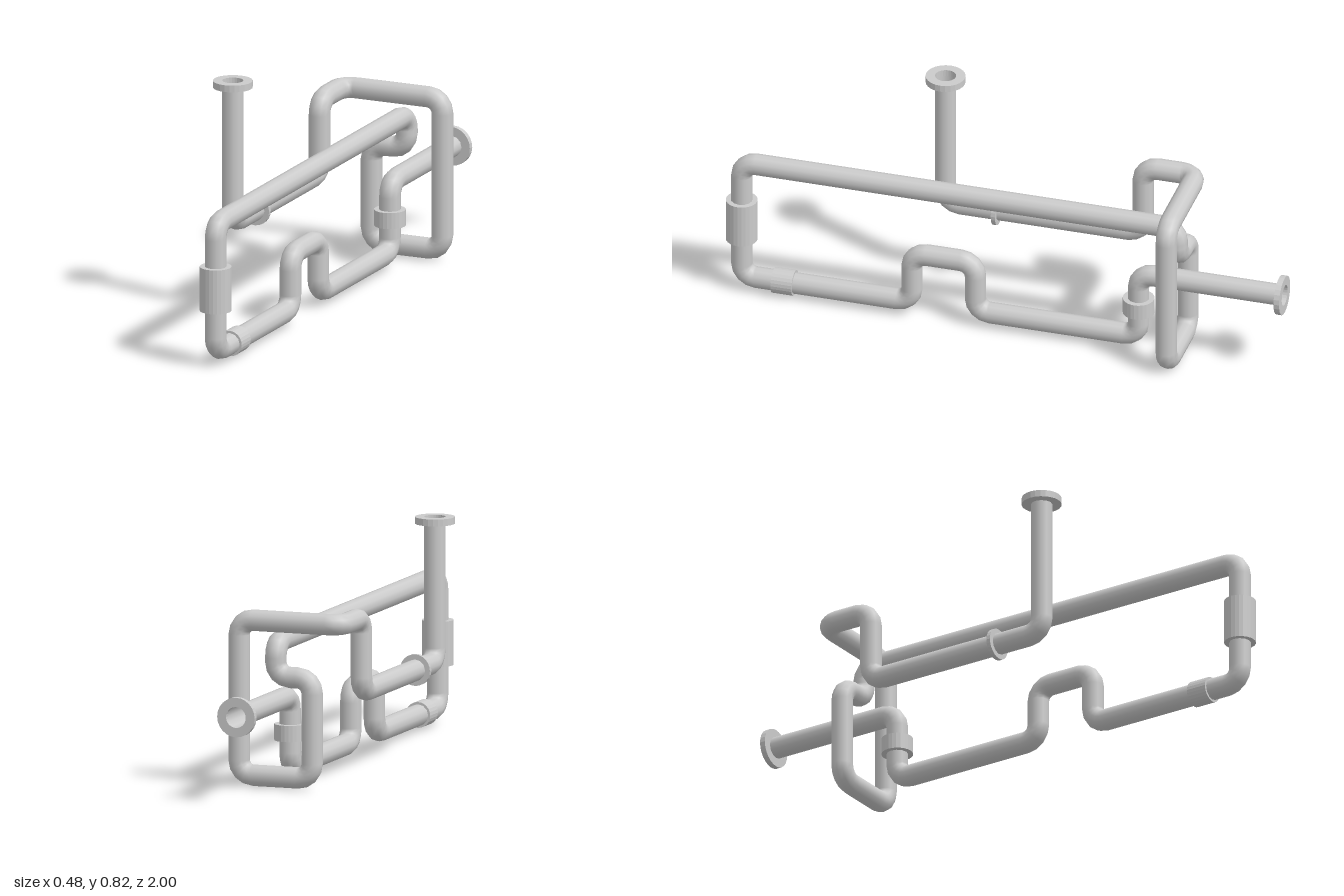
import * as THREE from 'three';

const R = 0.0375;      // pipe radius
const BEND = 0.052;    // elbow centreline radius
const STEPS = 4;       // segments per elbow
const SIDES = 12;

const V = (x, y, z) => new THREE.Vector3(x, y, z);

// Straight runs joined by rounded elbows, sampled exactly at the elbow rings
class PipeCurve extends THREE.Curve {
  constructor(corners) {
    super();
    const n = corners.length;
    const dir = i => corners[i + 1].clone().sub(corners[i]).normalize();
    this.samples = [{ p: corners[0], t: dir(0) }];
    for (let i = 1; i < n - 1; i++) {
      const a = dir(i - 1), b = dir(i);
      const centre = corners[i].clone().addScaledVector(a, -BEND).addScaledVector(b, BEND);
      for (let k = 0; k <= STEPS; k++) {
        const ang = (k / STEPS) * Math.PI / 2, s = Math.sin(ang), c = Math.cos(ang);
        this.samples.push({
          p: centre.clone().addScaledVector(b, -BEND * c).addScaledVector(a, BEND * s),
          t: a.clone().multiplyScalar(c).addScaledVector(b, s),
        });
      }
    }
    this.samples.push({ p: corners[n - 1], t: dir(n - 2) });
    this.segments = this.samples.length - 1;
  }
  at(u) { return this.samples[Math.round(u * this.segments)]; }
  getPoint(u, target = V(0, 0, 0)) { return target.copy(this.at(u).p); }
  getPointAt(u, target) { return this.getPoint(u, target); }
  getTangentAt(u, target = V(0, 0, 0)) { return target.copy(this.at(u).t); }
}

export function createModel() {
  const group = new THREE.Group();
  const material = new THREE.MeshStandardMaterial({ color: 0xcccccc });
  const openMaterial = new THREE.MeshStandardMaterial({ color: 0xcccccc, side: THREE.DoubleSide });

  const add = (name, geometry, mat = material) => {
    const mesh = new THREE.Mesh(geometry, mat);
    mesh.name = name;
    group.add(mesh);
    return mesh;
  };

  // Ring-shaped sleeve around the pipe, along y or z
  const sleeve = (name, pos, radius, length, axis) => {
    const shape = new THREE.Shape().absarc(0, 0, radius, 0, Math.PI * 2);
    shape.holes.push(new THREE.Path().absarc(0, 0, R * 0.97, 0, Math.PI * 2, true));
    const geo = new THREE.ExtrudeGeometry(shape, { depth: length, bevelEnabled: false, curveSegments: SIDES });
    geo.translate(0, 0, -length / 2);
    if (axis === 'y') geo.rotateX(-Math.PI / 2);
    add(name, geo).position.copy(pos);
  };

  // One continuous pipe from the upright inlet to the rear outlet
  const A = -0.174, B = 0.068, Z = -0.615;
  const curve = new PipeCurve([
    V(A, 0.82, 0.285),
    V(A, 0.32, 0.285),
    V(A, 0.32, -0.423),
    V(A, 0.58, -0.423),
    V(A, 0.58, Z),
    V(0.203, 0.58, Z),
    V(0.203, 0.04, Z),
    V(-0.066, 0.04, Z),
    V(-0.066, 0.388, Z),
    V(B, 0.388, Z),
    V(B, 0.508, Z),
    V(B, 0.508, 0.945),
    V(B, 0.053, 0.945),
    V(B, 0.053, 0.335),
    V(B, 0.246, 0.335),
    V(B, 0.246, 0.108),
    V(B, 0.053, 0.108),
    V(B, 0.053, -0.477),
    V(B, 0.302, -0.477),
    V(B, 0.302, -0.99),
  ]);
  add('pipe', new THREE.TubeGeometry(curve, curve.segments, R, SIDES, false), openMaterial);

  // End flanges
  sleeve('inletFlange', V(A, 0.815, 0.285), 0.069, 0.024, 'y');
  sleeve('outletFlange', V(B, 0.302, -0.99), 0.069, 0.02, 'z');

  // Couplings along the run
  sleeve('inletCollar', V(A, 0.32, 0.1), 0.055, 0.015, 'z');
  sleeve('frontCoupling', V(B, 0.279, 0.945), 0.055, 0.157, 'y');
  sleeve('lowerCoupling', V(B, 0.053, 0.792), 0.045, 0.075, 'z');
  sleeve('rearCoupling', V(B, 0.176, -0.477), 0.055, 0.057, 'y');

  return group;
}
